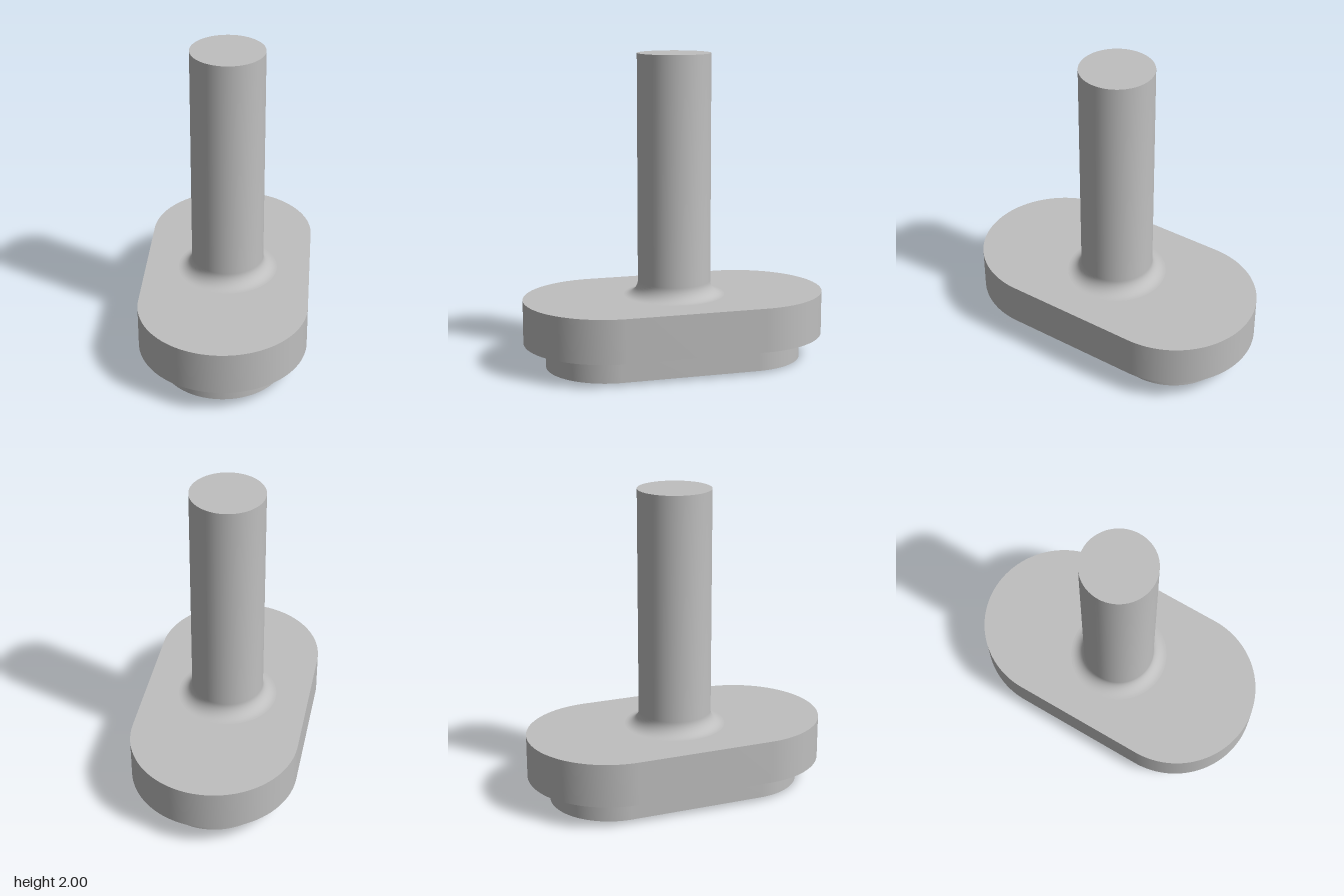
import * as THREE from 'three';
import { toCreasedNormals } from 'three/addons/utils/BufferGeometryUtils.js';

const CENTRE = 0.445; // z offset of the rounded ends, shared by both slabs
const BASE_TOP = 0.163;
const FLANGE_TOP = 0.445;
const HEIGHT = 2;
const POST_RADIUS = 0.235;
const FILLET = 0.09;

// Upright slab with straight sides and semicircular ends
function slab(name, radius, bottom, top, material) {
  const shape = new THREE.Shape();
  shape.absarc(0, CENTRE, radius, 0, Math.PI, false);
  shape.absarc(0, -CENTRE, radius, Math.PI, Math.PI * 2, false);
  shape.closePath();
  const geometry = new THREE.ExtrudeGeometry(shape, {
    depth: top - bottom, bevelEnabled: false, curveSegments: 40,
  });
  geometry.rotateX(-Math.PI / 2);
  geometry.translate(0, bottom, 0);
  const mesh = new THREE.Mesh(toCreasedNormals(geometry, 0.5), material);
  mesh.name = name;
  return mesh;
}

// Round post that flares into the flange through a concave fillet
function filletedPost(material) {
  const points = [];
  const steps = 12;
  for (let i = 0; i <= steps; i++) {
    const a = (i / steps) * Math.PI / 2;
    points.push(new THREE.Vector2(
      POST_RADIUS + FILLET * (1 - Math.sin(a)),
      FLANGE_TOP + FILLET * (1 - Math.cos(a)),
    ));
  }
  points.push(new THREE.Vector2(POST_RADIUS, HEIGHT), new THREE.Vector2(0, HEIGHT));
  const geometry = toCreasedNormals(new THREE.LatheGeometry(points, 64), 0.5);
  const mesh = new THREE.Mesh(geometry, material);
  mesh.name = 'post';
  return mesh;
}

export function createModel() {
  const grey = new THREE.MeshStandardMaterial({ color: 0xbfbfbf });
  grey.name = 'plain grey';

  const model = new THREE.Group();
  model.name = 'oblongStampWithPost';
  model.add(
    slab('lowerStep', 0.398, 0, BASE_TOP, grey),
    slab('flange', 0.54, BASE_TOP, FLANGE_TOP, grey),
    filletedPost(grey),
  );
  return model;
}
